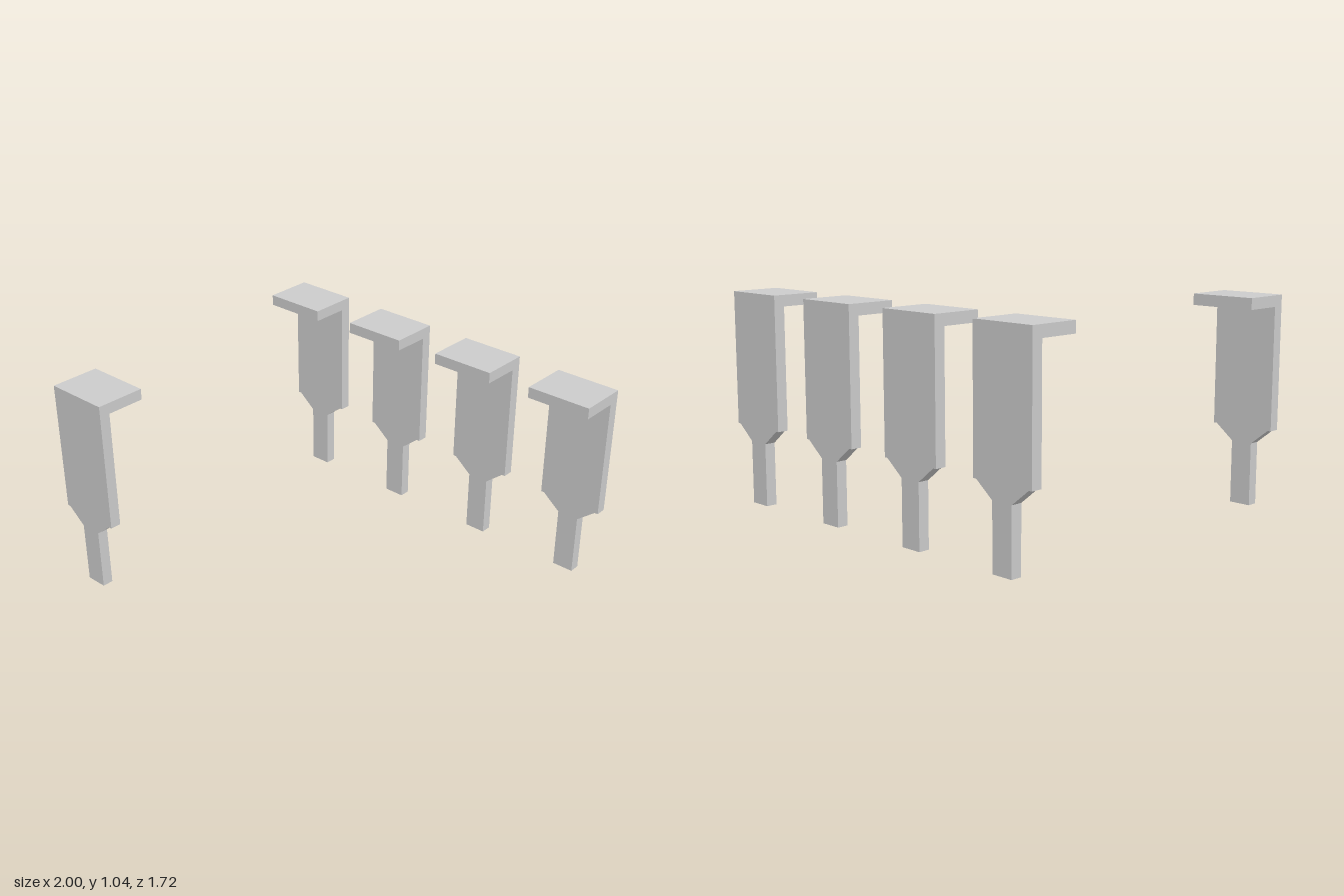
import * as THREE from 'three';

const HEIGHT = 1.04, HALF_WIDTH = 0.165, THICK = 0.055, DEPTH = 0.25;

// Upright blade: wide plate, sloped shoulders, narrow stem
function bladeGeometry() {
  const half = [[0.055, 0], [0.055, 0.31], [0.148, 0.385], [HALF_WIDTH, 0.385], [HALF_WIDTH, HEIGHT]];
  const mirrored = half.map(([x, y]) => [-x, y]).reverse();
  const shape = new THREE.Shape([...half, ...mirrored].map(([x, y]) => new THREE.Vector2(x, y)));
  return new THREE.ExtrudeGeometry(shape, { depth: THICK, bevelEnabled: false });
}

export function createModel() {
  const model = new THREE.Group();
  model.name = 'bracketSet';
  const material = new THREE.MeshStandardMaterial({ color: 0xcccccc, flatShading: true });

  const blade = bladeGeometry();
  // Top flange, butting against the blade's inner face
  const flange = new THREE.BoxGeometry(HALF_WIDTH * 2, THICK, DEPTH - THICK);
  flange.translate(0, HEIGHT - THICK / 2, (DEPTH + THICK) / 2);

  // Outer face of each bracket sits at z; its flange points inward
  function addBracket(name, x, z) {
    const bracket = new THREE.Group();
    bracket.name = name;
    for (const [part, geometry] of [['blade', blade], ['flange', flange]]) {
      const mesh = new THREE.Mesh(geometry, material);
      mesh.name = part;
      bracket.add(mesh);
    }
    bracket.position.set(x, 0, z);
    if (z > 0) bracket.rotation.y = Math.PI;
    model.add(bracket);
  }

  // Back row of four, and a single facing bracket at the front
  [-0.835, -0.28, 0.28, 0.835].forEach((x, i) => addBracket(`backBracket${i + 1}`, x, -0.862));
  addBracket('frontBracket', -0.835, 0.862);

  return model;
}
